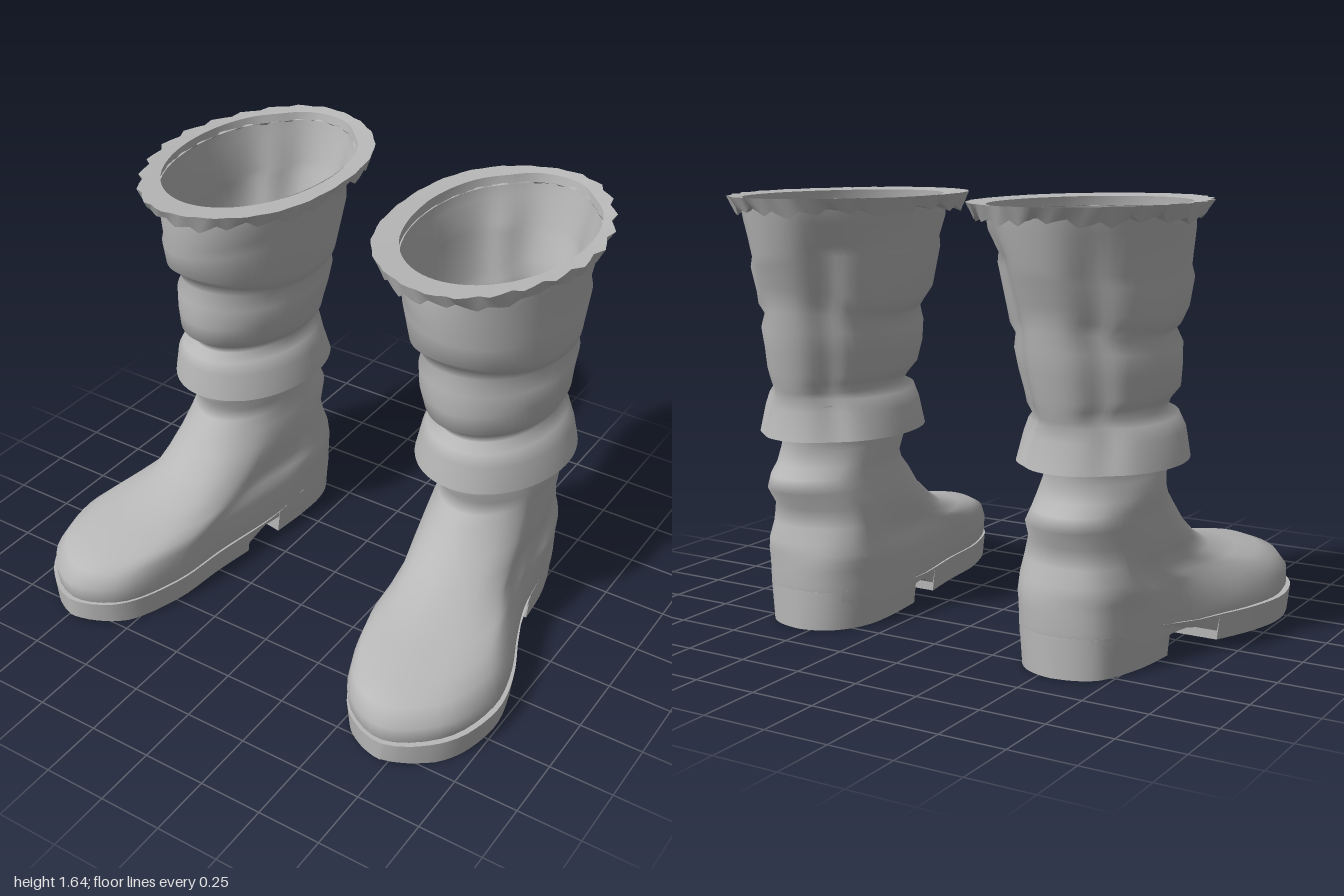
import * as THREE from 'three';
import { toCreasedNormals } from 'three/addons/utils/BufferGeometryUtils.js';

const leather = new THREE.MeshStandardMaterial({ color: 0xb8b8b8, side: THREE.DoubleSide });
leather.name = 'grey leather';
const N = 72;

// Sole outline of the left boot as (x, z), from the heel round the outer side
const outline = new THREE.CatmullRomCurve3([
  [0.55, -0.61], [0.71, -0.56], [0.79, -0.36], [0.82, -0.12], [0.88, 0.05], [0.965, 0.25],
  [1.0, 0.45], [0.93, 0.68], [0.73, 0.82], [0.54, 0.74], [0.43, 0.5], [0.4, 0.25],
  [0.36, 0], [0.33, -0.25], [0.34, -0.45], [0.42, -0.57],
].map(([x, z]) => new THREE.Vector3(x, 0, z)), true).getPoints(N).slice(0, N);
const bounds = new THREE.Box3().setFromPoints(outline);
const mid = bounds.getCenter(new THREE.Vector3());
const half = bounds.getSize(new THREE.Vector3()).multiplyScalar(0.5);

// Skin a list of closed rings; side -1 mirrors the result
function loft(rings, side) {
  const n = rings[0].length, pos = [], index = [];
  for (const ring of rings) for (const [x, y, z] of ring) pos.push(x * side, y, z);
  for (let i = 0; i < rings.length - 1; i++) {
    for (let j = 0; j < n; j++) {
      const a = i * n + j, b = i * n + (j + 1) % n, c = a + n, d = b + n;
      if (side > 0) index.push(a, b, c, b, d, c);
      else index.push(a, c, b, b, c, d);
    }
  }
  const g = new THREE.BufferGeometry();
  g.setAttribute('position', new THREE.Float32BufferAttribute(pos, 3));
  g.setIndex(index);
  g.computeVertexNormals();
  return g;
}

// Oval ring fitted to x and z limits, with a raised strip down the back
function oval([y, x0, x1, z0, z1, sag = 0, tilt = 0], groove = 0.05, wave = () => [0, 0]) {
  return Array.from({ length: N }, (_, j) => {
    const t = (j / N) * Math.PI * 2;
    const back = Math.min(t, Math.PI * 2 - t);
    const [dr, dy] = wave(t, j);
    const r = 1 - groove * Math.exp(-(((back - 0.62) / 0.2) ** 2)) + dr;
    return [
      (x0 + x1) / 2 + ((x1 - x0) / 2) * r * Math.sin(t),
      y + sag * Math.cos(t) ** 2 + tilt * Math.sin(t) + dy,
      (z0 + z1) / 2 - ((z1 - z0) / 2) * r * Math.cos(t),
    ];
  });
}

// Ring blending from an oval ankle (k = 0) to the foot outline (k = 1); the heel keeps its full width
function footRing([y, x0, x1, z0, z1, k]) {
  const cx = (x0 + x1) / 2, rx = (x1 - x0) / 2;
  return outline.map((p) => {
    const u = (p.x - mid.x) / half.x, v = (p.z - mid.z) / half.z;
    const a = Math.atan2(u, -v);
    const crease = 1 + 0.02 * (1 - k) * Math.sin(3 * a + y * 25);
    const footX = THREE.MathUtils.lerp(p.x, cx + rx * u, THREE.MathUtils.smoothstep(v, -0.6, 0.2));
    const nz = THREE.MathUtils.lerp(-Math.cos(a), v, k);
    return [
      THREE.MathUtils.lerp(cx + rx * Math.sin(a) * crease, footX, k),
      y,
      (z0 + z1) / 2 + ((z1 - z0) / 2) * nz,
    ];
  });
}

// Left and right limits of the sole at a given z
function edges(z) {
  const xs = [];
  outline.forEach((p, i) => {
    const q = outline[(i + 1) % N];
    if ((p.z - z) * (q.z - z) < 0) xs.push(p.x + ((q.x - p.x) * (z - p.z)) / (q.z - p.z));
  });
  if (xs.length < 2) xs.push(outline.reduce((a, b) => (Math.abs(a.z - z) < Math.abs(b.z - z) ? a : b)).x);
  return [Math.min(...xs), Math.max(...xs)];
}

// Sole and heel, cut across the foot from back to front
function soleGeometry(side) {
  const cuts = [];
  for (let i = 0; i <= 44; i++) {
    const z = mid.z - half.z * Math.cos((i / 44) * Math.PI);
    if (z > -0.21 && z < 0.1) continue;
    cuts.push([z, z > 0.7 ? (z - 0.7) * 0.15 : 0, 0]);
  }
  // heel breast, raised arch and the back of the front sole
  cuts.push([-0.1, 0, 0.08], [-0.0999, 0.1, 0.08], [0, 0.07, 0.02], [0.08, 0.035, 0], [0.0801, 0, 0]);
  cuts.sort((a, b) => a[0] - b[0]);
  const rings = cuts.map(([z, bottom, skew]) => {
    const zr = z - skew;
    const xl = edges(z)[0], xr = edges(zr)[1];
    const inset = Math.min(0.012, (xr - xl) / 4);
    const top = (s) => 0.1 + 0.05 * THREE.MathUtils.smoothstep(-s, 0, 0.4);
    return [[xr - inset, bottom, zr], [xr, top(zr), zr], [xl, top(z), z], [xl + inset, bottom, z]];
  });
  return toCreasedNormals(loft(rings, side), 0.6);
}

// Rows: y, inner x, outer x, back z, front z, then sag and tilt; the last rows flare into the ankle fold
const SHAFT = [
  [1.635, 0.205, 0.865, -0.78, 0.2], [1.55, 0.21, 0.86, -0.765, 0.21],
  [1.44, 0.24, 0.84, -0.735, 0.195, 0, -0.04], [1.4, 0.23, 0.855, -0.725, 0.19, 0, -0.04],
  [1.25, 0.265, 0.84, -0.69, 0.175, 0.06], [1.205, 0.28, 0.83, -0.68, 0.12, 0.06],
  [1.175, 0.305, 0.8, -0.67, 0.105, 0.045], [1.13, 0.29, 0.83, -0.665, 0.115, 0.02],
  [1.06, 0.3, 0.825, -0.65, 0.115], [0.98, 0.32, 0.82, -0.632, 0.1],
  [0.945, 0.335, 0.8, -0.625, 0.05], [0.91, 0.36, 0.785, -0.615, 0.035],
  [0.88, 0.33, 0.82, -0.61, 0.085, 0.01], [0.83, 0.305, 0.85, -0.605, 0.095, 0.01],
  [0.73, 0.28, 0.87, -0.63, 0.11],
];
// Rows: y, inner x, outer x, back z, front z, blend to foot outline; the first rows are the inner lip
const FOOT = [
  [0.885, 0.465, 0.685, -0.53, -0.1, 0], [0.9, 0.43, 0.72, -0.57, -0.06, 0],
  [0.86, 0.37, 0.775, -0.605, 0.025, 0], [0.8, 0.395, 0.755, -0.58, 0.04, 0],
  [0.73, 0.4, 0.75, -0.57, 0.045, 0],
  [0.68, 0.39, 0.77, -0.565, 0.065, 0], [0.62, 0.38, 0.785, -0.575, 0.015, 0.1],
  [0.58, 0.38, 0.785, -0.62, 0.04, 0.15], [0.53, 0.365, 0.79, -0.64, 0.09, 0.25],
  [0.46, 0.35, 0.805, -0.58, 0.14, 0.35], [0.39, 0.345, 0.81, -0.59, 0.24, 0.55],
  [0.33, 0.35, 0.815, -0.61, 0.36, 0.75], [0.29, 0.345, 0.865, -0.61, 0.53, 0.9],
  [0.265, 0.335, 0.905, -0.61, 0.68, 1], [0.23, 0.335, 0.95, -0.61, 0.77, 1],
  [0.17, 0.33, 0.982, -0.61, 0.812, 1], [0.11, 0.335, 0.985, -0.605, 0.808, 1],
  [0.08, 0.345, 0.97, -0.59, 0.79, 1],
];

// Scalloped trim: a flat top with a ragged lower edge, strongest on the outer side
function trimGeometry(side) {
  const frill = (t, j) => {
    const s = (j % 3) / 2 - 0.5;
    const strength = 0.2 + 0.8 * Math.max(0, Math.sin(t));
    return [0.06 * s * strength + 0.012 * Math.sin(5 * t), 0];
  };
  const droop = (t, j) => [frill(t, j)[0] * 0.8, 0.025 * ((j % 3) / 2 - 0.5) + 0.01 * Math.sin(7 * t)];
  const rings = [
    oval([1.635, 0.205, 0.855, -0.77, 0.19], 0.03),
    oval([1.642, 0.13, 0.91, -0.815, 0.3], 0, frill),
    oval([1.59, 0.15, 0.89, -0.79, 0.28], 0, droop),
    oval([1.6, 0.215, 0.855, -0.765, 0.2], 0.03),
  ];
  return toCreasedNormals(loft(rings, side), 0.9);
}

function boot(side) {
  const group = new THREE.Group();
  group.name = side > 0 ? 'leftBoot' : 'rightBoot';
  const add = (name, geometry) => {
    const mesh = new THREE.Mesh(geometry, leather);
    mesh.name = name;
    group.add(mesh);
  };
  const wrinkle = (y) => (t) => [0.012 * Math.sin(3 * t + y * 14) * Math.sin(t) ** 2, 0];
  add('shaft', loft(SHAFT.map((r) => oval(r, r[0] > 1.5 || r[0] < 0.8 ? 0.03 : 0.07, wrinkle(r[0]))), side));
  add('foot', loft(FOOT.map(footRing), side));
  add('sole', soleGeometry(side));
  add('topTrim', trimGeometry(side));
  return group;
}

export function createModel() {
  const model = new THREE.Group();
  model.name = 'pairOfBoots';
  model.add(boot(1), boot(-1));
  return model;
}
